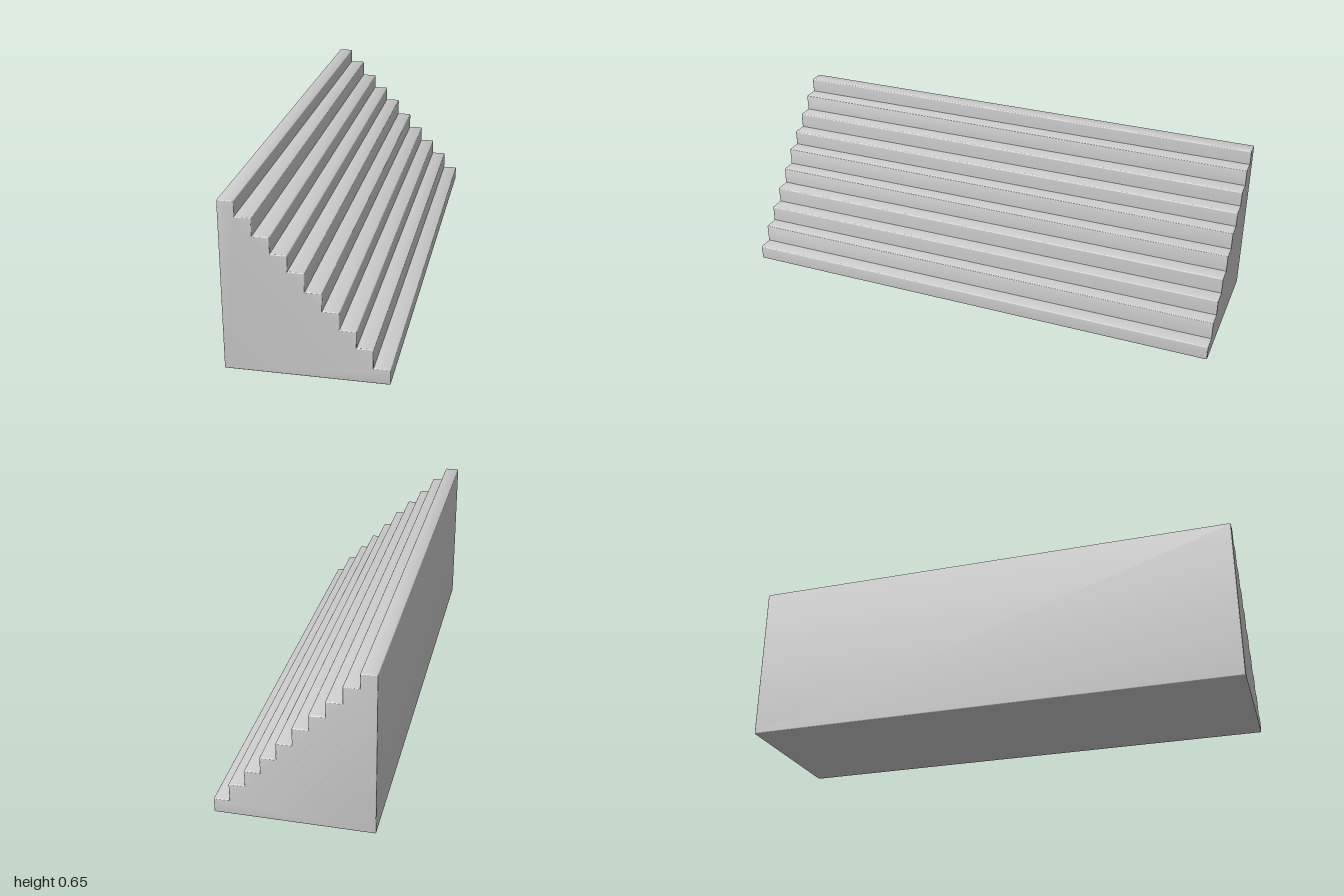
import * as THREE from 'three';
import { toCreasedNormals } from 'three/addons/utils/BufferGeometryUtils.js';

// Closed counter-clockwise outline with its convex corners softened
function softOutline(points, radius) {
  const shape = new THREE.Shape();
  points.forEach((p, i) => {
    const prev = points[(i + points.length - 1) % points.length];
    const next = points[(i + 1) % points.length];
    const a = prev.clone().sub(p).normalize();
    const b = next.clone().sub(p).normalize();
    const convex = b.cross(a) > 0;
    const start = convex ? p.clone().addScaledVector(a, radius) : p;
    if (i === 0) shape.moveTo(start.x, start.y);
    else shape.lineTo(start.x, start.y);
    if (convex) {
      const end = p.clone().addScaledVector(b, radius);
      shape.quadraticCurveTo(p.x, p.y, end.x, end.y);
    }
  });
  shape.closePath();
  return shape;
}

export function createModel() {
  const group = new THREE.Group();
  group.name = 'staircase';

  // Stepped side profile: solid underneath, ten treads rising towards -x
  const treadHeights = [0.06, 0.133, 0.198, 0.264, 0.332, 0.403, 0.464, 0.526, 0.592, 0.65];
  const halfWidth = 0.3;
  const treadDepth = (2 * halfWidth) / treadHeights.length;
  const profile = [new THREE.Vector2(-halfWidth, 0), new THREE.Vector2(halfWidth, 0)];
  treadHeights.forEach((y, i) => {
    const x = halfWidth - i * treadDepth;
    profile.push(new THREE.Vector2(x, y), new THREE.Vector2(x - treadDepth, y));
  });

  // Run the profile along z with slightly softened end edges
  const bevel = 0.004;
  const length = 2;
  const geometry = new THREE.ExtrudeGeometry(softOutline(profile, 0.006), {
    depth: length - 2 * bevel,
    curveSegments: 4,
    bevelThickness: bevel,
    bevelSize: bevel,
    bevelOffset: -bevel,
    bevelSegments: 3,
  });
  geometry.translate(0, 0, bevel - length / 2);

  const steps = new THREE.Mesh(
    toCreasedNormals(geometry, 0.6),
    new THREE.MeshStandardMaterial({ color: 0xcccccc })
  );
  steps.name = 'steps';
  group.add(steps);
  return group;
}
